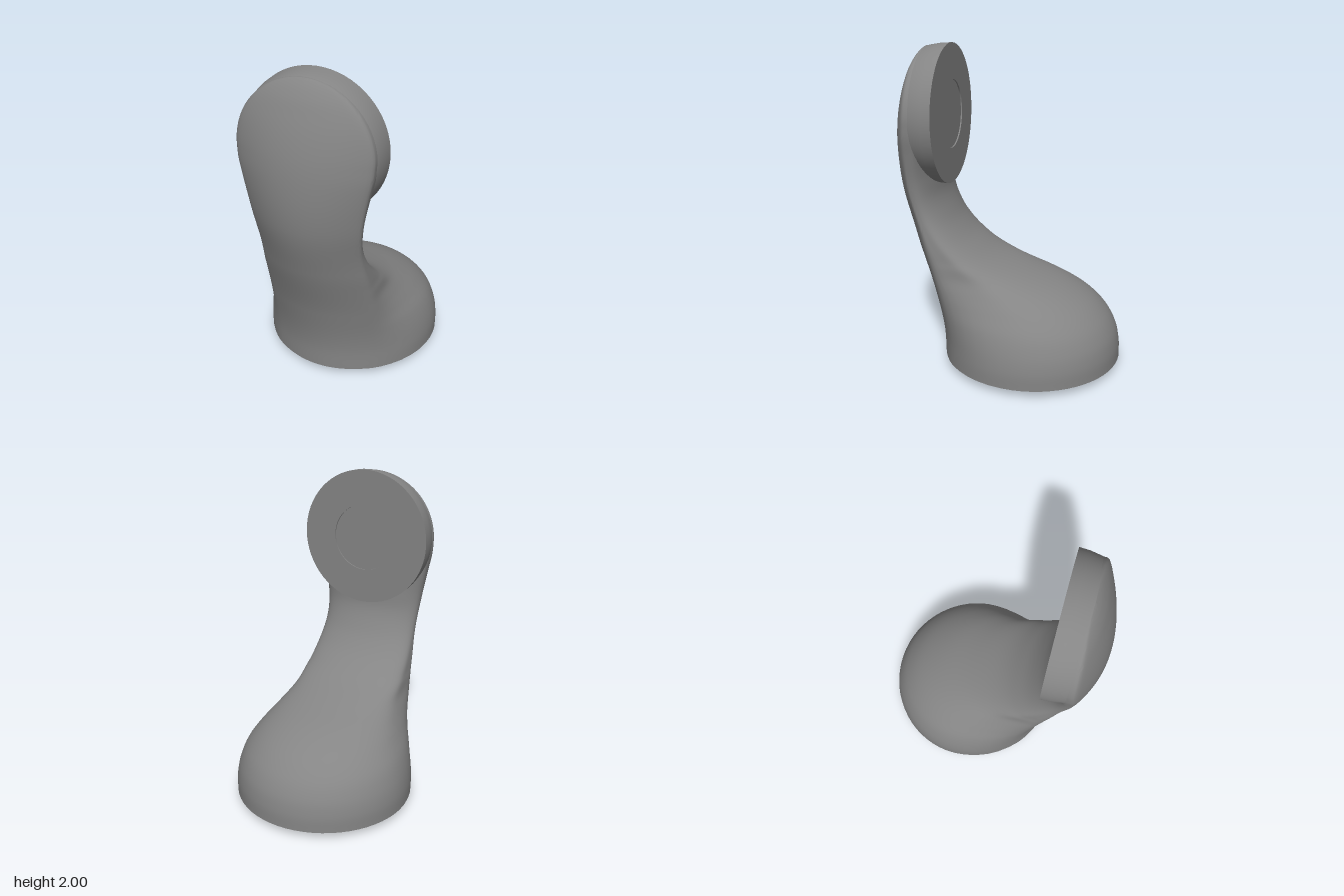
import * as THREE from 'three';
import { toCreasedNormals } from 'three/addons/utils/BufferGeometryUtils.js';

const HEAD_Y = 1.572, HEAD_R = 0.41, BASE_Y = 0.048, BASE_Z = -0.135;

// Smooth curve through [y, value] points
function curve(points) {
  const slope = i => {
    const [a, b] = [points[Math.max(i - 1, 0)], points[Math.min(i + 1, points.length - 1)]];
    const p = points[i];
    if (a === p || b === p) return (b[1] - a[1]) / (b[0] - a[0]);
    const h0 = p[0] - a[0], h1 = b[0] - p[0];
    return ((p[1] - a[1]) / h0 * h1 + (b[1] - p[1]) / h1 * h0) / (h0 + h1);
  };
  return y => {
    let i = 0;
    while (i < points.length - 2 && y > points[i + 1][0]) i++;
    const [y0, v0] = points[i], [y1, v1] = points[i + 1];
    const h = y1 - y0, t = (y - y0) / h, s = 1 - t;
    return s * s * ((1 + 2 * t) * v0 + t * h * slope(i)) + t * t * ((1 + 2 * s) * v1 - s * h * slope(i + 1));
  };
}

// Body measures by height: front line, soft ridge beside it, widest place and back line
const frontZ = curve([[0.04, 0.431], [0.2, 0.437], [0.5, 0.497], [0.85, 0.608], [1.15, 0.685], [1.37, 0.7],
  [1.6, 0.68], [1.8, 0.627], [1.9, 0.587], [1.95, 0.557], [1.985, 0.528]]);
const ridgeZ = curve([[0.04, 0.3], [0.2, 0.304], [0.5, 0.362], [0.85, 0.478], [1.15, 0.558], [1.37, 0.572],
  [1.6, 0.56], [1.9, 0.541], [1.985, 0.526]]);
const ridgeX = curve([[0.04, 0.36], [0.3, 0.362], [0.55, 0.362], [0.75, 0.343], [1, 0.325], [1.2, 0.345],
  [1.38, 0.38], [1.49, 0.403], [1.58, HEAD_R]]);
const wideX = curve([[0.04, 0.567], [0.15, 0.565], [0.25, 0.546], [0.35, 0.508], [0.45, 0.445], [0.53, 0.395],
  [0.6, 0.363], [0.7, 0.35], [0.85, 0.3], [2, 0.2]]);
const wideZ = curve([[0.04, BASE_Z], [0.25, -0.13], [0.35, -0.11], [0.45, -0.05], [0.6, 0.16], [0.8, 0.37],
  [1, 0.495], [1.15, 0.53], [1.4, 0.52], [2, 0.49]]);
const backZ = curve([[0.04, -0.698], [0.15, -0.693], [0.25, -0.667], [0.35, -0.605], [0.45, -0.49], [0.53, -0.335],
  [0.6, -0.14], [0.68, 0.06], [0.78, 0.21], [0.9, 0.32], [1, 0.375], [1.1, 0.41], [1.2, 0.42], [2, 0.42]]);

// Closed section: rounded back, sides running to the ridge, shallow arched front
function section(y) {
  const zf = frontZ(y), zr = ridgeZ(y), zc = wideZ(y), zb = backZ(y);
  const wr = y > HEAD_Y ? Math.sqrt(Math.max(HEAD_R ** 2 - (y - HEAD_Y) ** 2, 1e-6)) : ridgeX(y);
  const w = Math.max(y > HEAD_Y ? 0 : wideX(y), wr * 1.001);
  const half = [];
  for (let k = 0; k < 16; k++) {
    const a = (k / 16) * Math.PI / 2;
    half.push([w * Math.sin(a), zc - (zc - zb) * Math.cos(a)]);
  }
  const end = Math.acos(wr / w);
  for (let k = 0; k < 6; k++) {
    const a = (k / 6) * end;
    half.push([w * Math.cos(a), zc + (zr - zc) * Math.sin(a) / Math.sin(end)]);
  }
  for (let k = 0; k <= 14; k++) {
    const u = 1 - k / 14;
    half.push([wr * u, zr + (zf - zr) * (1 - u * u)]);
  }
  const mirrored = half.slice(1, -1).reverse().map(([x, z]) => [-x, z]);
  let ring = [...half, ...mirrored];
  const n = ring.length;
  for (let pass = 0; pass < 2; pass++) { // round off the ridge
    ring = ring.map((p, i) => p.map((v, k) => (ring[(i + n - 1) % n][k] + 2 * v + ring[(i + 1) % n][k]) / 4));
  }
  return ring.map(([x, z]) => [x, y, z]);
}

function loft(rings) {
  const n = rings[0].length, index = [];
  for (let i = 0; i < rings.length - 1; i++) {
    for (let j = 0; j < n; j++) {
      const a = i * n + j, b = i * n + (j + 1) % n;
      index.push(a, a + n, b, b, a + n, b + n);
    }
  }
  const g = new THREE.BufferGeometry();
  g.setAttribute('position', new THREE.Float32BufferAttribute(rings.flat(2), 3));
  g.setIndex(index);
  return g;
}

export function createModel() {
  const model = new THREE.Group();
  const material = new THREE.MeshStandardMaterial({ color: 0x858585 });
  const add = (name, geometry, crease) => {
    const mesh = new THREE.Mesh(toCreasedNormals(geometry, crease), material);
    mesh.name = name;
    model.add(mesh);
    return mesh;
  };

  // Body: wide round foot rising into a neck and arched head front
  const rings = [];
  for (let i = 0; i < 90; i++) rings.push(section(BASE_Y + (HEAD_Y - BASE_Y) * i / 90));
  for (let i = 0; i <= 30; i++) rings.push(section(HEAD_Y + HEAD_R * Math.sin(i / 30 * Math.PI / 2)));
  rings.unshift(rings[0].map(() => [0, BASE_Y, BASE_Z])); // flat underside
  add('body', loft(rings), 1.1);

  // Round head pad facing backwards, with a shallow round recess
  const profile = [[0, 0.388], [0.21, 0.388], [0.21, 0.38], [0.428, 0.38], [0.425, 0.44], [0.412, 0.515], [0.403, 0.535]];
  const pad = new THREE.LatheGeometry(profile.map(([r, z]) => new THREE.Vector2(r, z)), 64);
  pad.rotateX(Math.PI / 2);
  add('headPad', pad, 0.6).position.y = HEAD_Y;

  // Short plug under the foot
  add('basePlug', new THREE.CylinderGeometry(0.208, 0.208, 0.06, 48), 0.6).position.set(0, 0.03, BASE_Z);

  return model;
}
